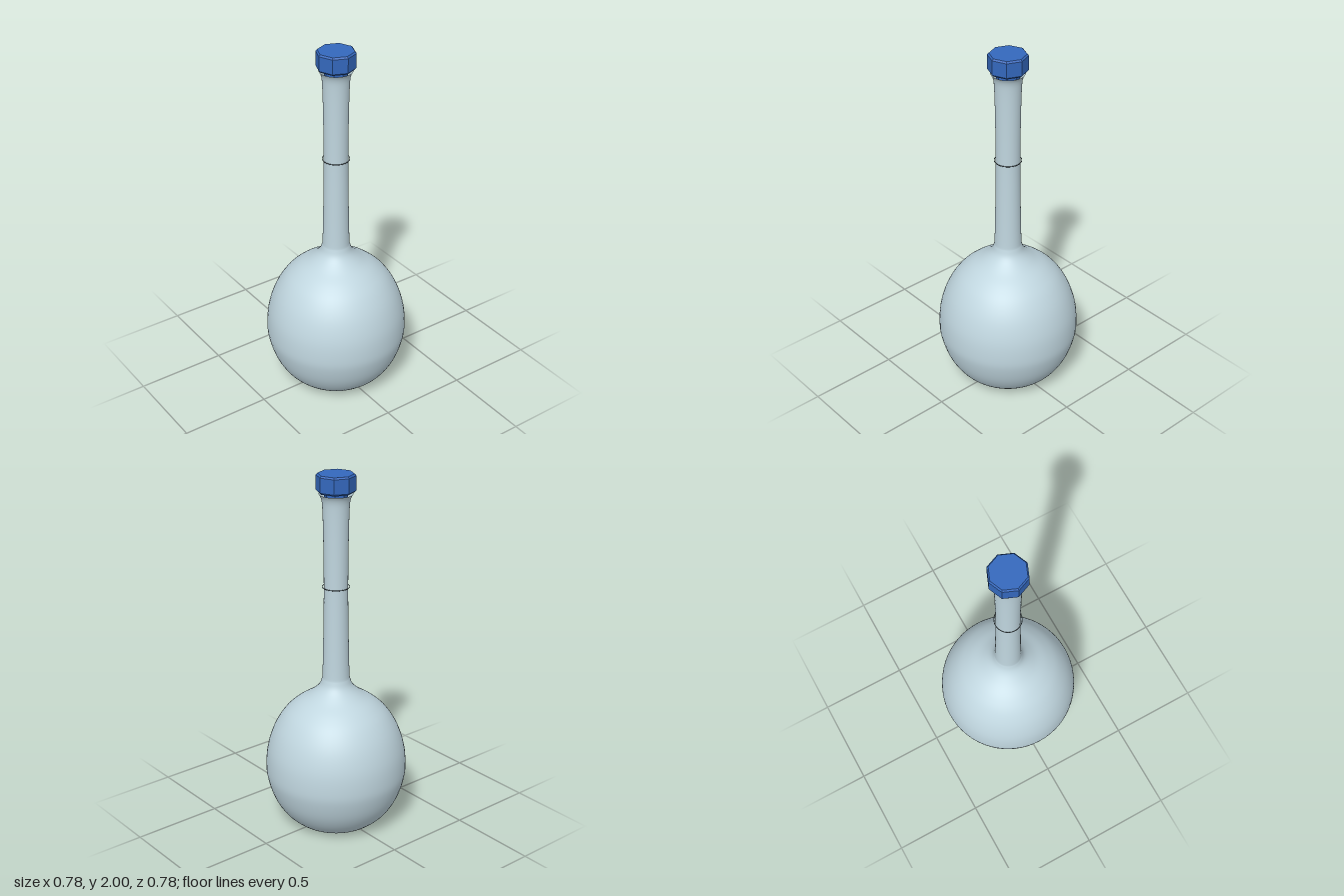
import * as THREE from 'three';

const points = (list) => list.map(([r, y]) => new THREE.Vector2(r, y));

export function createModel() {
  const glass = new THREE.MeshStandardMaterial({ color: 0xc0d6df, side: THREE.DoubleSide });
  glass.name = 'pale glass';
  const blue = new THREE.MeshStandardMaterial({ color: 0x3468bd, flatShading: true });
  blue.name = 'blue plastic';
  const grey = new THREE.MeshStandardMaterial({ color: 0x66757c });
  grey.name = 'mark grey';

  const group = new THREE.Group();
  const add = (name, geometry, material, y = 0) => {
    const mesh = new THREE.Mesh(geometry, material);
    mesh.name = name;
    mesh.position.y = y;
    group.add(mesh);
    return mesh;
  };

  // Bulb, neck and flared lip as one smooth turned surface
  const outline = new THREE.SplineCurve(points([
    [0.2, 0], [0.235, 0.015], [0.3, 0.075], [0.352, 0.16], [0.384, 0.26],
    [0.392, 0.34], [0.381, 0.45], [0.345, 0.56], [0.29, 0.65], [0.225, 0.712],
    [0.15, 0.762], [0.1, 0.807], [0.079, 0.85], [0.073, 0.91], [0.067, 1.2],
    [0.065, 1.4], [0.067, 1.65], [0.071, 1.81], [0.077, 1.865], [0.09, 1.893],
  ]));
  add('flask', new THREE.LatheGeometry(outline.getPoints(90), 64), glass);

  // Flat base
  add('base', new THREE.CircleGeometry(0.2, 64).rotateX(Math.PI / 2), glass, 0.001);

  // Fill line around the neck
  add('fillMark', new THREE.TorusGeometry(0.073, 0.002, 6, 64).rotateX(Math.PI / 2), grey, 1.386);

  // Stopper: tapered plug below an eight-sided bevelled cap
  add('stopperPlug', new THREE.CylinderGeometry(0.064, 0.056, 0.14, 8), blue, 1.84);
  add('stopperCap', new THREE.LatheGeometry(points([
    [0, 1.903], [0.097, 1.903], [0.105, 1.912], [0.105, 1.991], [0.097, 2], [0, 2],
  ]), 8), blue);

  return group;
}
